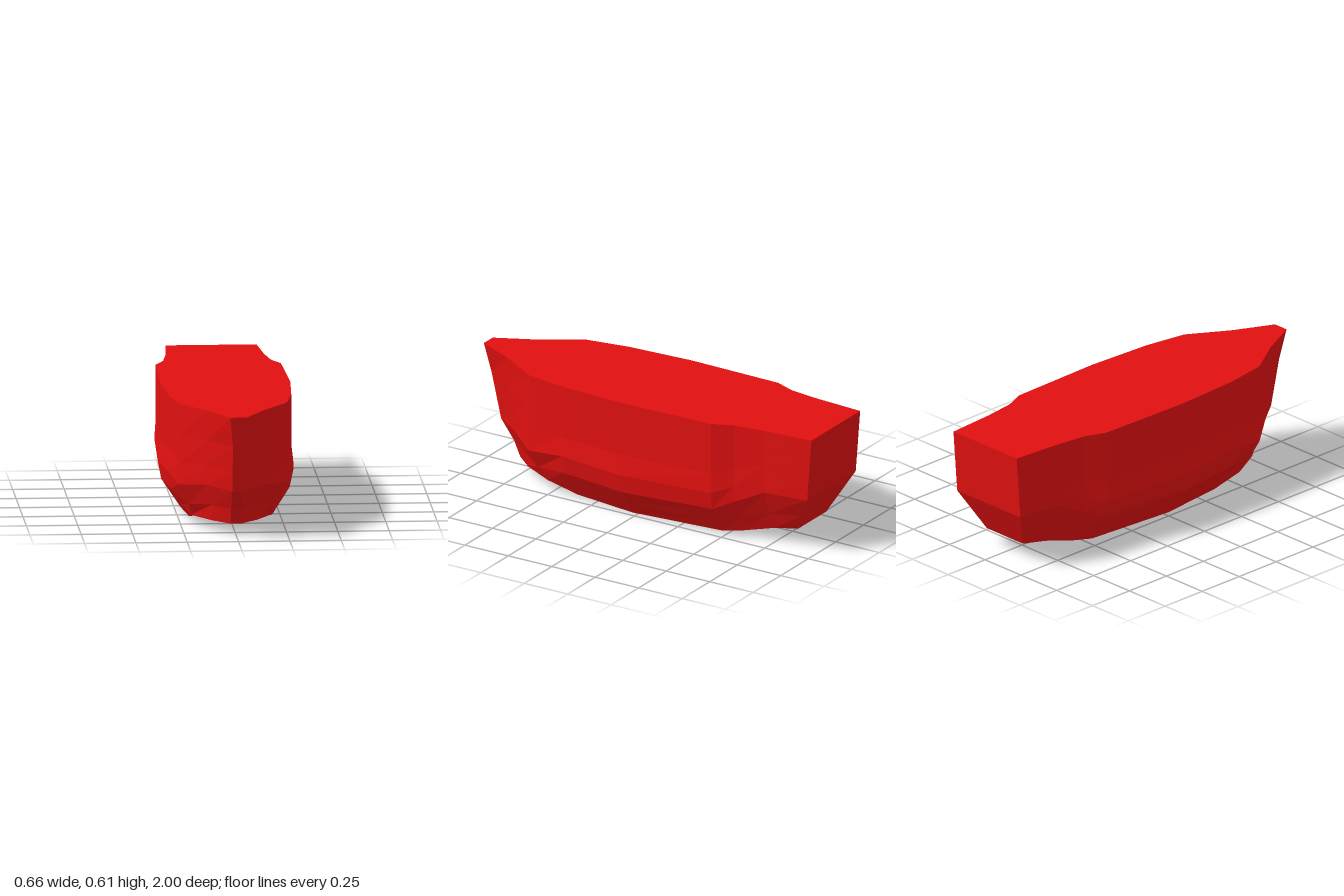
import * as THREE from 'three';

const { lerp } = THREE.MathUtils;
const stations = 9; // cross-sections from bow to stern
const deckY = 0.612;
const midZ = [0.03, -0.475, -0.58, -0.74]; // stations where every edge shares one z

// A lengthwise edge of the hull; z lists the raked bow stations and the stern
function edge(x, y, z) {
  const allZ = [...z.slice(0, 4), ...midZ, z[4]];
  return x.map((value, s) => new THREE.Vector3(value, y[s], allZ[s]));
}

// An edge lying part of the way between two others
function between(lower, upper, amount) {
  return lower.map((p, s) => p.clone().lerp(upper[s], amount(s)));
}

function hullEdges() {
  const bottom = edge(
    [0.025, 0.11, 0.197, 0.2, 0.218, 0.205, 0.18, 0.155, 0.127],
    [0.053, 0.053, 0.05, 0.015, 0, 0.015, 0.03, 0.07, 0.085],
    [0.8, 0.7, 0.53, 0.36, -0.865]);
  const chine = edge(
    [0.025, 0.11, 0.215, 0.29, 0.312, 0.295, 0.265, 0.24, 0.22],
    [0.13, 0.135, 0.115, 0.155, 0.14, 0.16, 0.21, 0.285, 0.29],
    [0.835, 0.73, 0.58, 0.38, -0.975]);
  const belt = edge(
    [0.025, 0.14, 0.265, 0.31, 0.33, 0.312, 0.267, 0.24, 0.221],
    [0.23, 0.24, 0.215, 0.25, 0.235, 0.25, 0.29, 0.36, 0.37],
    [0.91, 0.76, 0.6, 0.38, -0.981]);
  const deck = edge(
    [0.04, 0.137, 0.262, 0.298, 0.317, 0.305, 0.262, 0.24, 0.221],
    Array(stations).fill(deckY),
    [1, 0.8, 0.6, 0.38, -1]);

  // The bilge closes up against the bottom towards the bow
  const bilge = between(bottom, chine, (s) => (s < 3 ? 0.06 : 0.43));

  // The topsides rise straight up to the deck, with a narrow stem at the bow
  const topside = (amount) => between(belt, deck, () => amount).map((p, s) => {
    p.x = s === 0 ? belt[0].x : deck[s].x;
    return p;
  });
  return [bottom, bilge, chine, belt, topside(0.27), topside(0.6), deck];
}

function hullGeometry() {
  const edges = hullEdges();
  const n = edges.length, ring = n * 2;
  const positions = [], index = [];
  for (let s = 0; s < stations; s++) {
    for (let j = 0; j < ring; j++) {
      const p = edges[j < n ? j : ring - 1 - j][s];
      positions.push(j < n ? p.x : -p.x, p.y, p.z);
    }
  }
  const quad = (a, b, c, d) => index.push(a, b, c, a, c, d);

  // Skin, including the flat deck and the bottom
  for (let s = 0; s < stations - 1; s++) {
    for (let j = 0; j < ring; j++) {
      const a = s * ring + j, b = s * ring + (j + 1) % ring;
      quad(a, a + ring, b + ring, b);
    }
  }
  // Stem at the bow and transom at the stern
  const last = (stations - 1) * ring;
  for (let j = 0; j < n - 1; j++) {
    const k = ring - 1 - j;
    quad(j, j + 1, k - 1, k);
    quad(last + j, last + k, last + k - 1, last + j + 1);
  }

  const indexed = new THREE.BufferGeometry();
  indexed.setAttribute('position', new THREE.Float32BufferAttribute(positions, 3));
  indexed.setIndex(index);
  const geometry = indexed.toNonIndexed();
  geometry.computeVertexNormals();
  return geometry;
}

export function createModel() {
  const group = new THREE.Group();
  group.name = 'boatHull';
  const paint = new THREE.MeshStandardMaterial({ color: 0xe01010, flatShading: true });
  const hull = new THREE.Mesh(hullGeometry(), paint);
  hull.name = 'hull';
  group.add(hull);
  return group;
}
